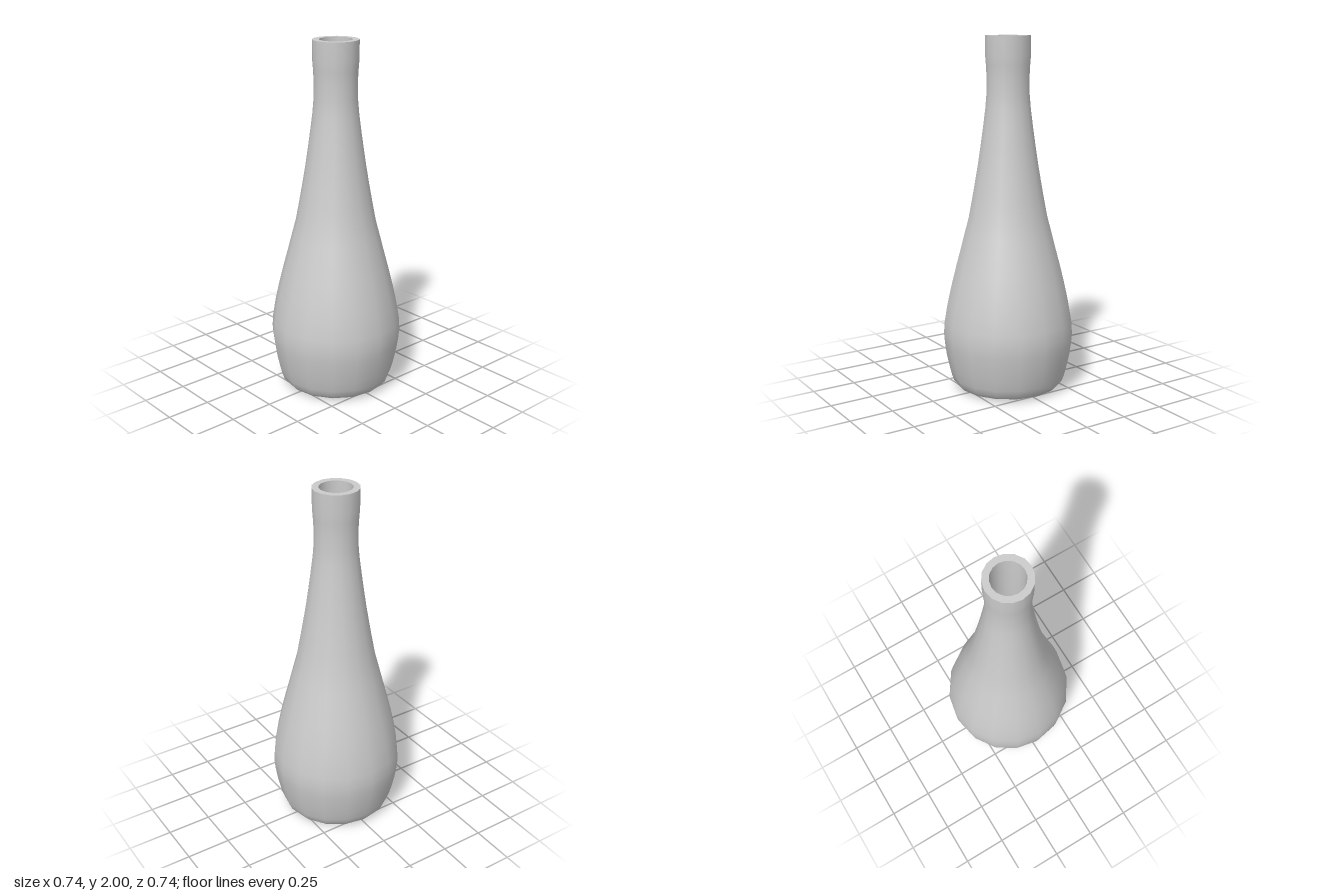
import * as THREE from 'three';

const SIDES = 16;
const material = new THREE.MeshStandardMaterial({ color: 0xcccccc });

// Revolves [radius, height] pairs into one smooth surface
function turned(name, profile) {
  const points = profile.map(([r, y]) => new THREE.Vector2(r, y));
  const mesh = new THREE.Mesh(new THREE.LatheGeometry(points, SIDES), material);
  mesh.name = name;
  return mesh;
}

export function createModel() {
  const bottle = new THREE.Group();
  bottle.name = 'bottle';

  // Underside, rounded heel, belly, shoulder and neck
  bottle.add(turned('outerWall', [
    [0, 0], [0.24, 0.004], [0.27, 0.009], [0.295, 0.018], [0.315, 0.04], [0.328, 0.075],
    [0.342, 0.13], [0.357, 0.2], [0.367, 0.27], [0.372, 0.33], [0.367, 0.4],
    [0.35, 0.5], [0.328, 0.6], [0.303, 0.7], [0.276, 0.8], [0.25, 0.9], [0.226, 0.99],
    [0.205, 1.1], [0.187, 1.2], [0.17, 1.3], [0.155, 1.4], [0.141, 1.5],
    [0.128, 1.6], [0.121, 1.68], [0.12, 1.78], [0.123, 1.84], [0.127, 1.89], [0.128, 2],
  ]));

  // Flat lip around the mouth
  bottle.add(turned('rim', [[0.128, 2], [0.091, 2]]));

  // Hollow inside: straight bore that widens into the belly
  bottle.add(turned('innerWall', [
    [0.091, 2], [0.091, 1.6], [0.118, 1.4], [0.15, 1.2], [0.187, 1], [0.238, 0.8],
    [0.29, 0.6], [0.328, 0.4], [0.333, 0.32], [0.318, 0.2], [0.29, 0.08],
  ]));
  bottle.add(turned('innerFloor', [[0.29, 0.08], [0, 0.08]]));

  return bottle;
}
